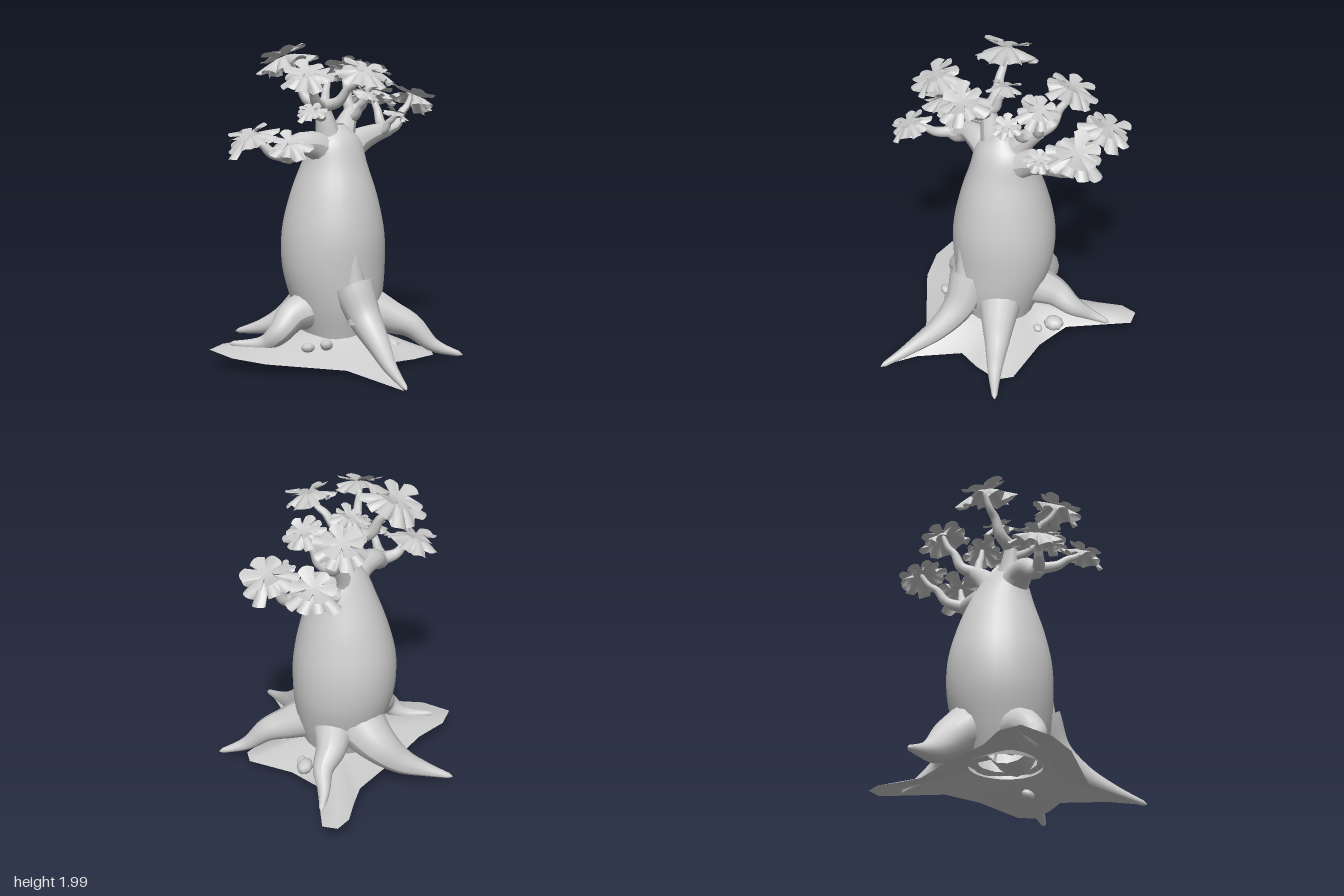
import * as THREE from 'three';

const { lerp } = THREE.MathUtils;
const bark = new THREE.MeshStandardMaterial({ color: 0xcccccc, side: THREE.DoubleSide });
bark.name = 'pale grey';

const path = (points) => new THREE.CatmullRomCurve3(points.map((p) => new THREE.Vector3(...p)));

// Surface made of closed rings; fn(row 0..1, angle, column) returns a point
function loft(rows, cols, fn) {
  const pos = [], idx = [];
  for (let i = 0; i <= rows; i++)
    for (let j = 0; j < cols; j++) pos.push(...fn(i / rows, (j / cols) * Math.PI * 2, j));
  for (let i = 0; i < rows; i++)
    for (let j = 0; j < cols; j++) {
      const a = i * cols + j, b = i * cols + (j + 1) % cols;
      idx.push(a, a + cols, b, b, a + cols, b + cols);
    }
  const g = new THREE.BufferGeometry();
  g.setAttribute('position', new THREE.Float32BufferAttribute(pos, 3));
  g.setIndex(idx);
  g.computeVertexNormals();
  return g;
}

// Round limb along a curve; radius(t) gives its thickness, the far end is closed
function limb(curve, radius, sides = 12) {
  const n = 28, g = new THREE.TubeGeometry(curve, n, 1, sides, false);
  const p = g.attributes.position, v = new THREE.Vector3();
  for (let q = 0; q < p.count; q++) {
    const i = Math.floor(q / (sides + 1)), c = curve.getPointAt(i / n);
    v.fromBufferAttribute(p, q).sub(c).multiplyScalar(i === n ? 0.003 : radius(i / n)).add(c);
    p.setXYZ(q, v.x, v.y, v.z);
  }
  g.computeVertexNormals();
  return g;
}

// Broad rosette of unit radius with narrow notches; lift raises or droops the rim
function rosette(lobes, notch, lift, seed) {
  const per = 8;
  return loft(5, lobes * per, (t, a, j) => {
    const lobe = Math.floor(j / per), k = j % per;
    const edge = k === 0 ? notch : 0.93 + 0.14 * Math.sin((k / per) * Math.PI);
    const size = 0.98 + 0.1 * Math.sin(lobe * 2.3 + seed);
    const r = t * lerp(0.9, edge * size, t * t);
    const wave = 0.13 * Math.sin(lobe * 1.9 + seed * 2) - 0.05 * Math.cos((k / per) * Math.PI * 2);
    return [r * Math.sin(a), (lift + wave) * t * t, r * Math.cos(a)];
  });
}

export function createModel() {
  const model = new THREE.Group();
  const group = (name) => {
    const g = new THREE.Group();
    g.name = name;
    model.add(g);
    return g;
  };
  const add = (name, geometry, parent = model) => {
    const m = new THREE.Mesh(geometry, bark);
    m.name = name;
    parent.add(m);
    return m;
  };

  // Swollen trunk: height, half width, half depth, centre z
  const sections = [
    [0.18, 0.22, 0.23, -0.03], [0.38, 0.28, 0.29, -0.045], [0.6, 0.325, 0.325, -0.07],
    [0.82, 0.322, 0.328, -0.075], [1.05, 0.273, 0.28, -0.07], [1.24, 0.212, 0.212, -0.063],
    [1.4, 0.165, 0.138, -0.048], [1.5, 0.05, 0.05, -0.045]];
  const size = path(sections.map(([y, w, d]) => [w, y, d]));
  const centre = path(sections.map(([y, , , z]) => [-0.02, y, z]));
  add('trunk', loft(35, 28, (t, a) => {
    const s = size.getPoint(t), c = centre.getPoint(t);
    return [c.x + s.x * Math.cos(a), s.y, c.z + s.z * Math.sin(a)];
  }));

  // Roots, flaring at the trunk and slender toward the tip
  const roots = group('roots');
  const root = (name, thick, ...points) =>
    add(name, limb(path(points), (t) => 0.015 + thick * Math.pow(1 - t, 1.15), 14), roots);
  root('frontRoot', 0.12, [-0.1, 0.5, 0.17], [-0.1, 0.32, 0.28], [-0.15, 0.19, 0.44], [-0.23, 0.1, 0.6], [-0.32, 0.02, 0.81]);
  root('frontLeftRoot', 0.14, [0.06, 0.37, 0.06], [0.18, 0.285, 0.23], [0.26, 0.23, 0.34], [0.34, 0.11, 0.46], [0.455, 0.05, 0.6]);
  root('backRoot', 0.17, [0.03, 0.42, -0.2], [0.04, 0.3, -0.38], [-0.02, 0.19, -0.52], [-0.1, 0.13, -0.64], [-0.19, 0.085, -0.81]);
  root('leftRoot', 0.13, [0.13, 0.4, -0.1], [0.3, 0.33, -0.2], [0.42, 0.26, -0.23], [0.52, 0.18, -0.31], [0.63, 0.13, -0.37]);
  root('rightRoot', 0.13, [-0.14, 0.36, -0.08], [-0.34, 0.32, -0.11], [-0.45, 0.23, -0.12], [-0.5, 0.16, -0.2], [-0.63, 0.15, -0.38]);

  // Narrow ridge running up the trunk from the front root
  add('rootRidge', limb(path([[-0.1, 0.3, 0.26], [-0.11, 0.5, 0.205], [-0.13, 0.76, 0.2]]),
    (t) => lerp(0.105, 0.03, t)), roots);

  // Tuft of leaves leaning outward from the trunk
  const foliage = group('foliage');
  const tuft = (x, y, z, r) => {
    const g = new THREE.Group(), seed = foliage.children.length;
    g.name = 'tuft' + (seed + 1);
    const out = new THREE.Vector3(x * 0.6, 0, z + 0.04).setLength(0.4).setY(1).normalize();
    g.quaternion.setFromUnitVectors(new THREE.Vector3(0, 1, 0), out);
    g.position.set(x, y, z);
    g.scale.setScalar(r);
    add('lowerLeaves', rosette(9, 0.74, -0.38, seed), g);
    const upper = add('upperLeaves', rosette(6, 0.4, 0.12, seed + 4), g);
    upper.scale.setScalar(0.8);
    upper.position.y = 0.04;
    foliage.add(g);
  };

  // Bough with a crooked twig to each tuft; small tufts fork off earlier
  const branches = group('branches');
  const bough = (name, points, tufts) => {
    const curve = path(points);
    add(name, limb(curve, (t) => lerp(0.135, 0.042, Math.pow(t, 0.65))), branches);
    for (const [x, y, z, r] of tufts) {
      const s = curve.getPointAt(r < 0.095 ? 0.75 : 0.93);
      const step = (h, v) => [lerp(s.x, x, h), lerp(s.y, y, v), lerp(s.z, z, h)];
      const twig = path([step(0, 0), step(0.4, 0.15), step(0.62, 0.5), step(0.8, 0.65), step(1, 1)]);
      add('twig', limb(twig, (t) => lerp(0.022 + r * 0.13, 0.014, t), 10), branches);
      tuft(x, y, z, r);
    }
  };
  bough('rightBough', [[-0.05, 1.28, -0.05], [-0.2, 1.38, -0.06], [-0.32, 1.385, -0.08], [-0.4, 1.33, -0.07], [-0.47, 1.34, -0.07]],
    [[-0.61, 1.46, -0.2, 0.165], [-0.61, 1.44, 0.15, 0.13]]);
  bough('middleBough', [[-0.05, 1.28, -0.05], [-0.1, 1.48, -0.05], [-0.14, 1.64, -0.06]],
    [[-0.2, 1.92, -0.32, 0.185], [-0.08, 1.845, 0.25, 0.15], [-0.42, 1.835, 0.1, 0.155],
      [-0.03, 1.81, -0.1, 0.105], [-0.35, 1.61, 0.06, 0.09]]);
  bough('backBough', [[0, 1.3, -0.06], [0.1, 1.46, -0.09], [0.22, 1.58, -0.13]],
    [[0.32, 1.84, -0.3, 0.16], [0.3, 1.82, 0, 0.125], [0.13, 1.69, 0.09, 0.085]]);
  bough('leftBough', [[0.02, 1.28, -0.05], [0.18, 1.37, -0.06], [0.3, 1.41, -0.05], [0.48, 1.44, -0.04]],
    [[0.61, 1.66, 0.03, 0.165], [0.59, 1.67, -0.3, 0.155], [0.38, 1.56, 0.1, 0.085]]);

  // Ground patch, rising toward the trunk, open beneath it
  const rim = [
    [0.42, 0.37], [0.38, 0.05], [0.42, -0.18], [0.74, -0.46], [0.71, -0.555], [0.6, -0.56],
    [0.45, -0.49], [0.3, -0.43], [-0.05, -0.44], [-0.38, -0.43], [-0.6, -0.475], [-0.75, -0.43], [-0.75, -0.22],
    [-0.66, -0.02], [-0.34, 0.35], [-0.33, 0.8], [-0.2, 0.6], [0.02, 0.405], [0.17, 0.44], [0.35, 0.45]];
  add('ground', loft(6, rim.length, (t, a, j) => {
    const [x, z] = rim[j], inner = 0.18 / Math.hypot(x, z);
    const k = lerp(inner, 1, t);
    return [x * k, lerp(0.22, 0.085 - 0.09 * z, Math.pow(t, 0.8)), z * k];
  }));

  // Stones lying on the ground
  const stones = group('stones');
  const stone = (x, y, z, r) => {
    const m = add('stone', new THREE.SphereGeometry(r, 8, 6), stones);
    m.position.set(x, y, z);
    m.rotation.set(x, x * 9, 0.2);
    m.scale.set(1.1, 0.75, 0.9);
  };
  stone(0.4, 0.2, -0.07, 0.06);
  stone(0.33, 0.17, 0.01, 0.03);
  stone(0.17, 0.115, 0.27, 0.042);
  stone(-0.3, 0.17, 0.14, 0.045);
  stone(-0.4, 0.16, 0.08, 0.04);

  return model;
}
